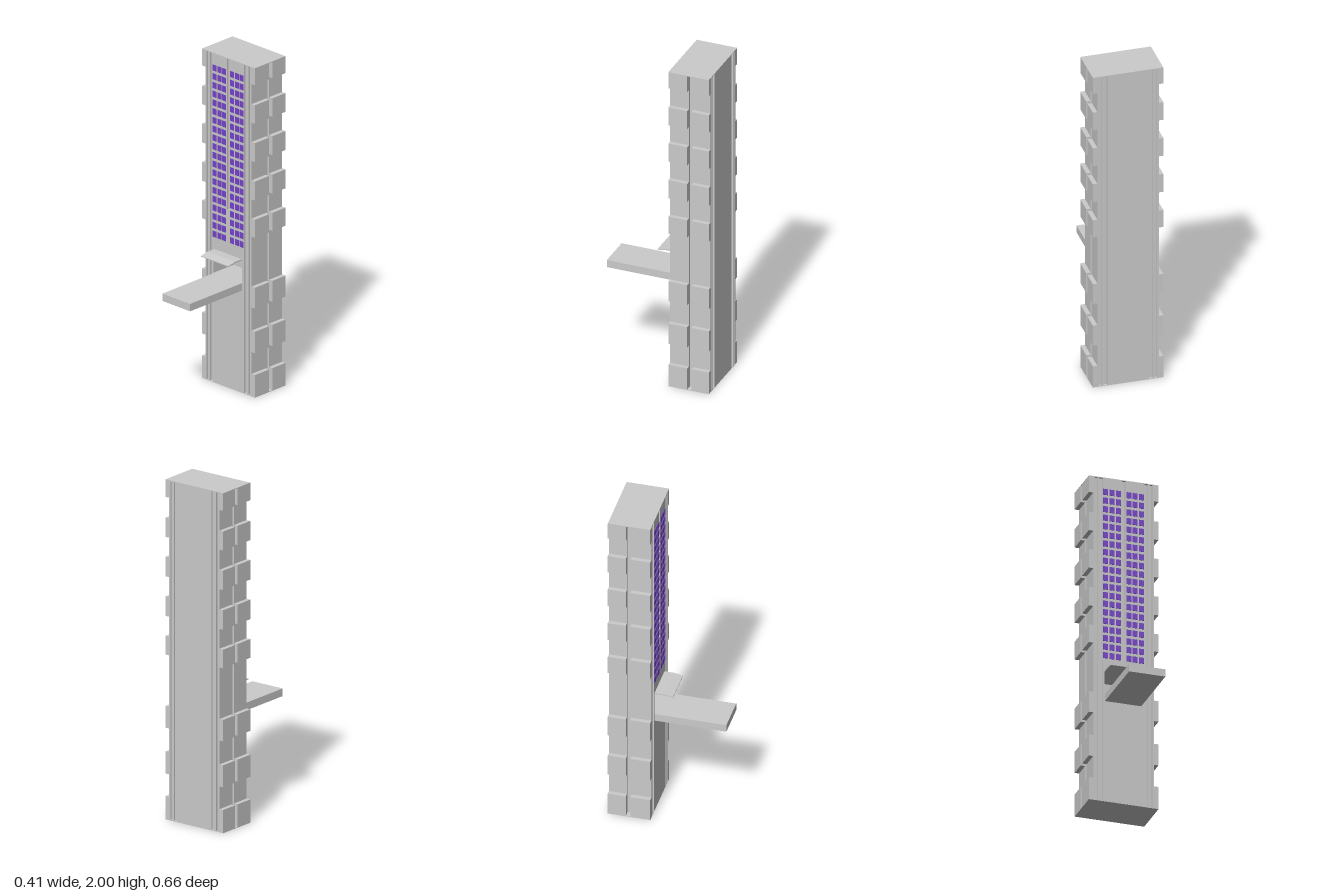
import * as THREE from 'three';

const grey = new THREE.MeshStandardMaterial({ color: 0xcccccc, flatShading: true });
const violet = new THREE.MeshStandardMaterial({ color: 0x7744cc, flatShading: true });

const FRONT = -0.085, BACK = -0.331, GROOVE = 0.012, DOOR_DEPTH = 0.16;

export function createModel() {
  const model = new THREE.Group();
  model.name = 'tower';

  const add = (name, geometry, parent = model, material = grey) => {
    const mesh = new THREE.Mesh(geometry, material);
    mesh.name = name;
    parent.add(mesh);
    return mesh;
  };
  // Box given by its limits along each axis
  const box = (name, x0, x1, y0, y1, z0, z1, parent, material) => {
    const mesh = add(name, new THREE.BoxGeometry(x1 - x0, y1 - y0, z1 - z0), parent, material);
    mesh.position.set((x0 + x1) / 2, (y0 + y1) / 2, (z0 + z1) / 2);
    return mesh;
  };
  const polygon = (points) => new THREE.Shape(points.map(([x, y]) => new THREE.Vector2(x, y)));
  const extrude = (shape, depth) => new THREE.ExtrudeGeometry(shape, { depth, bevelEnabled: false });

  // Shaft: grooved plan section, open at the front for the central panel
  const f = FRONT - GROOVE, b = BACK + GROOVE, px = 0.122;
  const half = [
    [px, FRONT - DOOR_DEPTH], [px, f], [0.145, f], [0.145, FRONT], [0.155, FRONT], [0.155, f],
    [0.17, f], [0.17, FRONT], [0.18, FRONT], [0.18, -0.2], [0.168, -0.2], [0.168, -0.226],
    [0.18, -0.226], [0.18, BACK], [0.17, BACK], [0.17, b], [0.155, b], [0.155, BACK],
    [0.145, BACK], [0.145, b], [px, b], [px, BACK],
  ].map(([x, z]) => [x, -z]);
  const section = [...half, ...half.map(([x, y]) => [-x, y]).reverse()];
  add('shaft', extrude(polygon(section), 1.992).rotateX(-Math.PI / 2)).position.y = 0.004;

  // Front panel: doorway all the way through, centre slot in the outer layer only
  const doorway = () => new THREE.Path(
    [[-0.115, 0.665], [0.107, 0.665], [0.107, 0.803], [-0.115, 0.803]].map(([x, y]) => new THREE.Vector2(x, y)));
  const inner = polygon([[-px, 0.004], [px, 0.004], [px, 1.996], [-px, 1.996]]);
  const outer = polygon([[-px, 0.004], [px, 0.004], [px, 1.996], [0.01, 1.996], [0.01, 1.08],
    [-0.01, 1.08], [-0.01, 1.996], [-px, 1.996]]);
  inner.holes.push(doorway());
  outer.holes.push(doorway());
  add('innerPanel', extrude(inner, DOOR_DEPTH - GROOVE)).position.z = FRONT - DOOR_DEPTH;
  add('frontPanel', extrude(outer, GROOVE)).position.z = f;

  // Roof and base plates
  box('roof', -0.206, 0.206, 1.996, 2, BACK, FRONT);
  box('base', -0.206, 0.206, 0, 0.004, BACK, FRONT);

  // Side blocks, each split by the vertical groove
  const blocks = new THREE.Group();
  blocks.name = 'sideBlocks';
  model.add(blocks);
  const rows = [[0.004, 0.137], [0.27, 0.4], [0.54, 0.667], [0.97, 1.08],
    [1.197, 1.312], [1.43, 1.545], [1.662, 1.775], [1.897, 1.996]];
  for (const [y0, y1] of rows) {
    for (const [x0, x1] of [[-0.206, -0.18], [0.18, 0.206]]) {
      box('sideBlockFront', x0, x1, y0, y1, -0.2, FRONT, blocks);
      box('sideBlockBack', x0, x1, y0, y1, BACK, -0.226, blocks);
    }
  }

  // Windows: two banks of three columns
  const windows = new THREE.Group();
  windows.name = 'windows';
  model.add(windows);
  for (const x of [-0.107, -0.07, -0.032, 0.03, 0.067, 0.104]) {
    for (let i = 0; i < 20; i++) {
      const y = 0.902 + i * 0.0531;
      box('window', x - 0.0145, x + 0.0145, y - 0.018, y + 0.018, FRONT - 0.004, FRONT + 0.003, windows, violet);
    }
  }

  // Landing deck in front of the doorway
  box('deck', -0.111, 0.104, 0.62, 0.665, FRONT, 0.331);

  // Canopy: flat at the wall, drooping toward its tip
  const canopy = polygon([[0.085, 0.803], [0.03, 0.803], [-0.022, 0.796], [-0.022, 0.801],
    [0.03, 0.811], [0.085, 0.811]]);
  add('canopy', extrude(canopy, 0.215).rotateY(Math.PI / 2)).position.x = -0.111;

  return model;
}
